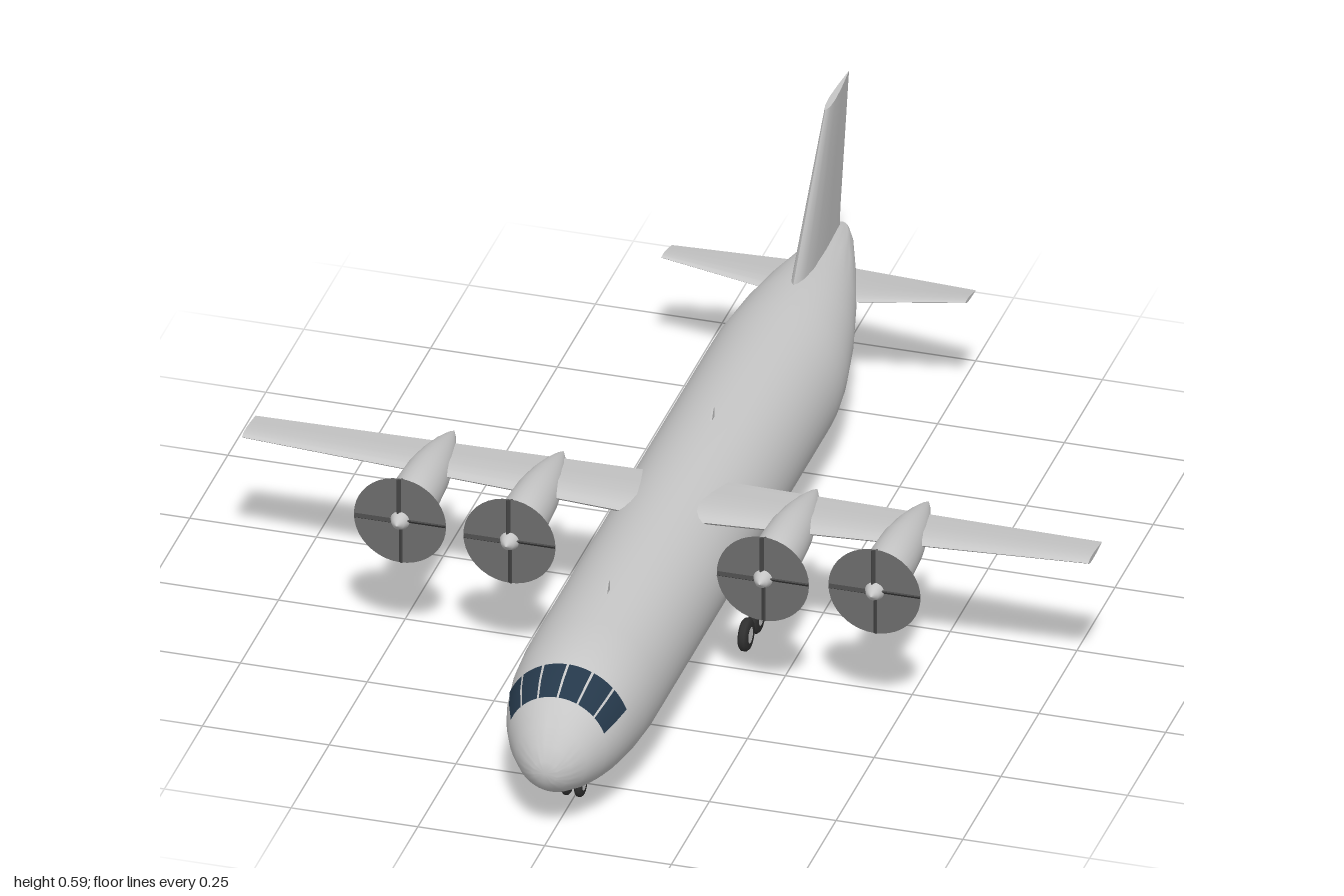
import * as THREE from 'three';
import { toCreasedNormals } from 'three/addons/utils/BufferGeometryUtils.js';

const mat = (name, color, side = THREE.FrontSide) => {
  const m = new THREE.MeshStandardMaterial({ color, side });
  m.name = name;
  return m;
};

// Skin over a list of rings, closed at both ends by fans
function loft(rings, crease) {
  const n = rings[0].length, pos = rings.flat(2), idx = [];
  for (let i = 0; i < rings.length - 1; i++) {
    for (let j = 0; j < n; j++) {
      const a = i * n + j, b = i * n + (j + 1) % n;
      idx.push(a, b, a + n, b, b + n, a + n);
    }
  }
  [0, rings.length - 1].forEach((r, end) => {
    const c = pos.length / 3;
    for (let k = 0; k < 3; k++) pos.push(rings[r].reduce((s, p) => s + p[k], 0) / n);
    for (let j = 0; j < n; j++) {
      const a = r * n + j, b = r * n + (j + 1) % n;
      if (end) idx.push(c, a, b); else idx.push(c, b, a);
    }
  });
  const g = new THREE.BufferGeometry();
  g.setAttribute('position', new THREE.Float32BufferAttribute(pos, 3));
  g.setIndex(idx);
  return toCreasedNormals(g, crease);
}

// Fuselage stations: z, bottom, top, half width
const stations = [
  [1, 0.156, 0.158, 0.001], [0.995, 0.133, 0.18, 0.024], [0.98, 0.112, 0.207, 0.046],
  [0.955, 0.093, 0.237, 0.07], [0.915, 0.077, 0.273, 0.096], [0.88, 0.068, 0.293, 0.111],
  [0.845, 0.061, 0.307, 0.121], [0.78, 0.053, 0.32, 0.132], [0.7, 0.048, 0.326, 0.137],
  [-0.46, 0.048, 0.326, 0.137], [-0.5, 0.051, 0.326, 0.136], [-0.55, 0.064, 0.326, 0.132],
  [-0.65, 0.1, 0.324, 0.115], [-0.75, 0.143, 0.316, 0.09], [-0.85, 0.19, 0.302, 0.059],
  [-0.93, 0.23, 0.291, 0.03], [-0.958, 0.249, 0.285, 0.014],
];

// Point on the hull; angle is measured from the top towards +x
function hullPoint([z, lo, hi, w], angle, grow = 0) {
  return [Math.sin(angle) * (w + grow), (lo + hi) / 2 + Math.cos(angle) * ((hi - lo) / 2 + grow), z];
}

// Thickness along the chord, from leading edge to trailing edge
const chord = [[0, 0], [0.04, 0.45], [0.12, 0.8], [0.3, 1], [0.6, 0.72], [1, 0.04]];

// Level surface: sections are x, y front, y back, z front, z back, half thickness
function wingGeometry(half) {
  const mirrored = [...half].reverse().map(([x, ...rest]) => [-x, ...rest]);
  const rings = [...mirrored, ...half.slice(1)].map(([x, yf, yb, zf, zb, t]) => {
    const at = (c, s) => [x, yf + (yb - yf) * c[0] + s * t * c[1], zf + (zb - zf) * c[0]];
    return [...[...chord].reverse().map(c => at(c, 1)), ...chord.slice(1).map(c => at(c, -1))];
  });
  return loft(rings, 0.6);
}

export function createModel() {
  const model = new THREE.Group();
  model.name = 'transportAircraft';
  const skin = mat('light grey skin', 0xc6c6c6);
  const glass = mat('dark blue glass', 0x25384a);
  const discMat = mat('propeller disc grey', 0x6c6c6c, THREE.DoubleSide);
  const bladeMat = mat('blade dark grey', 0x444444);
  const rubber = mat('tyre black', 0x303030);
  const add = (parent, name, geometry, material, x = 0, y = 0, z = 0) => {
    const m = new THREE.Mesh(geometry, material);
    m.name = name;
    m.position.set(x, y, z);
    parent.add(m);
    return m;
  };

  // Hull
  const rings = stations.map(s => Array.from({ length: 48 }, (_, j) => hullPoint(s, j / 48 * Math.PI * 2)));
  add(model, 'fuselage', loft(rings, 0.9), skin);

  // Six cockpit panes laid on the hull
  const paneRows = stations.slice(4, 7);
  const step = 0.405;
  for (let k = 0; k < 6; k++) {
    const g = new THREE.PlaneGeometry(1, 1, 6, 2), p = g.attributes.position;
    for (let i = 0; i < p.count; i++) {
      const angle = (k - 2.5 + p.getX(i) * 0.9) * step;
      p.setXYZ(i, ...hullPoint(paneRows[Math.round((p.getY(i) + 0.5) * 2)], angle, 0.003));
    }
    g.computeVertexNormals();
    add(model, 'cockpitPane', g, glass);
  }

  // Wing, tailplane and fin
  add(model, 'wing', wingGeometry([
    [0, 0.296, 0.294, 0.24, 0.067, 0.015], [0.835, 0.317, 0.315, 0.207, 0.118, 0.006],
  ]), skin);
  add(model, 'tailplane', wingGeometry([
    [0, 0.228, 0.214, -0.745, -0.915, 0.009], [0.3, 0.262, 0.252, -0.767, -0.835, 0.004],
  ]), skin);
  const fin = [[0.27, -0.592, -0.936, 0.017], [0.325, -0.635, -0.942, 0.016], [0.59, -0.845, -1, 0.007]];
  add(model, 'fin', loft(fin.map(([y, zf, zb, t]) => {
    const at = (c, s) => [s * t * c[1], y, zf + (zb - zf) * c[0]];
    return [...chord.map(c => at(c, 1)), ...chord.slice(1).reverse().map(c => at(c, -1))];
  }), 0.6), skin);

  // Engines: nacelle, spinner, propeller disc and four blades
  const lathe = (pts, segs) => new THREE.LatheGeometry(pts.map(p => new THREE.Vector2(...p)), segs).rotateX(Math.PI / 2);
  const nacelle = lathe([[0.001, -0.355], [0.01, -0.335], [0.023, -0.295], [0.036, -0.24], [0.045, -0.18],
    [0.048, -0.12], [0.046, -0.07], [0.038, -0.03], [0.03, -0.014], [0, -0.013]], 28);
  nacelle.scale(0.96, 1.03, 1);
  const spinner = lathe([[0, -0.014], [0.021, -0.014], [0.019, 0], [0.012, 0.014], [0, 0.024]], 20);
  const disc = new THREE.CircleGeometry(0.091, 40);
  const blade = new THREE.BoxGeometry(0.013, 0.075, 0.003).rotateY(0.7).translate(0, 0.052, 0);
  for (const side of [-1, 1]) {
    for (const [x, y, z] of [[0.25, 0.292, 0.398], [0.468, 0.297, 0.391]]) {
      const engine = new THREE.Group();
      engine.name = 'engine';
      engine.position.set(side * x, y, z);
      model.add(engine);
      add(engine, 'nacelle', nacelle, skin);
      add(engine, 'spinner', spinner, skin);
      add(engine, 'propellerDisc', disc, discMat);
      for (let k = 0; k < 4; k++) add(engine, 'propellerBlade', blade, bladeMat).rotation.z = k * Math.PI / 2;
    }
  }

  // Landing gear
  const addWheel = (name, x, y, z, r, width) => {
    const wheel = new THREE.Group();
    wheel.name = name;
    wheel.position.set(x, y, z);
    model.add(wheel);
    const h = width / 2;
    const tyre = new THREE.LatheGeometry([[r * 0.5, -h], [r * 0.85, -h], [r, -h * 0.5], [r, h * 0.5],
      [r * 0.85, h], [r * 0.5, h]].map(p => new THREE.Vector2(...p)), 24).rotateZ(Math.PI / 2);
    add(wheel, 'tyre', tyre, rubber);
    add(wheel, 'hub', new THREE.CylinderGeometry(r * 0.52, r * 0.52, width * 0.92, 20).rotateZ(Math.PI / 2), skin);
  };
  for (const side of [-1, 1]) {
    addWheel('noseWheel', side * 0.013, 0.03, 0.805, 0.025, 0.014);
    for (const z of [0.105, 0.175]) addWheel('mainWheel', side * 0.15, 0.032, z, 0.032, 0.018);
    add(model, 'gearDoor', new THREE.BoxGeometry(0.003, 0.02, 0.055), skin, side * 0.185, 0.086, 0.14);
  }
  add(model, 'noseAxle', new THREE.CylinderGeometry(0.004, 0.004, 0.02, 10).rotateZ(Math.PI / 2), skin, 0, 0.03, 0.805);
  add(model, 'noseStrut', new THREE.CylinderGeometry(0.004, 0.004, 0.04, 10), skin, 0, 0.048, 0.805);

  // Swept blade antennas above and below the hull
  const shape = new THREE.Shape([[-0.01, -0.004], [0.01, -0.004], [-0.004, 0.02], [-0.01, 0.02]].map(p => new THREE.Vector2(...p)));
  const antenna = new THREE.ExtrudeGeometry(shape, { depth: 0.004, bevelEnabled: false })
    .translate(0, 0, -0.002).rotateY(-Math.PI / 2);
  for (const z of [0.588, -0.1]) add(model, 'topAntenna', antenna, skin, 0, 0.326, z);
  add(model, 'bellyAntenna', antenna.clone().rotateZ(Math.PI), skin, 0, 0.047, 0.385);

  return model;
}
